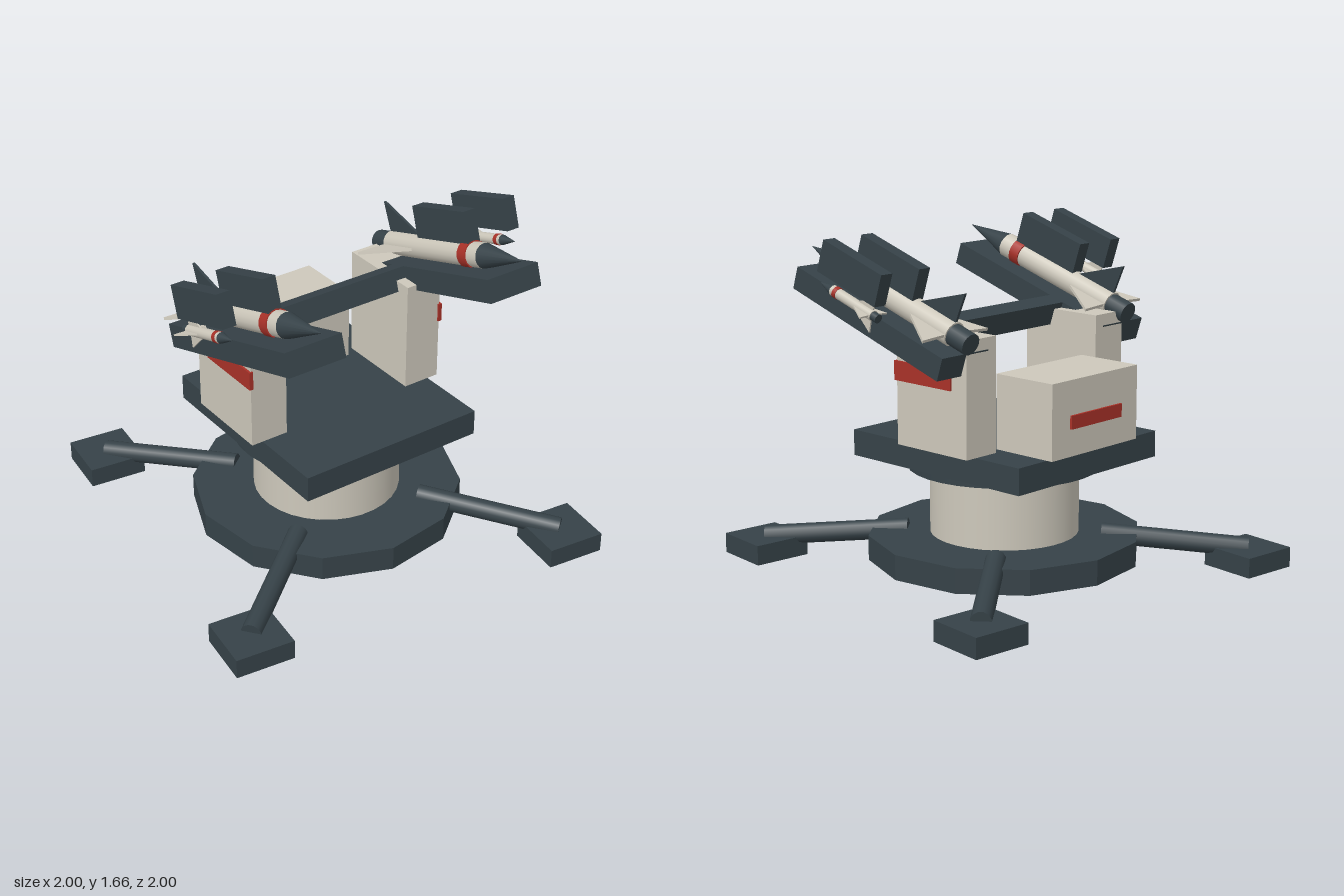
import * as THREE from 'three';

const mat = (color, flat = false) => new THREE.MeshStandardMaterial({ color, flatShading: flat });
const dark = mat(0x364248), darkFlat = mat(0x364248, true);
const cream = mat(0xcdc8bb), red = mat(0xa93128);

function add(parent, name, geometry, material, x = 0, y = 0, z = 0) {
  const mesh = new THREE.Mesh(geometry, material);
  mesh.name = name;
  mesh.position.set(x, y, z);
  parent.add(mesh);
  return mesh;
}

const box = (w, h, d) => new THREE.BoxGeometry(w, h, d);

// Round section along z from z0 to z1
function round(r0, r1, z0, z1) {
  return new THREE.CylinderGeometry(r1, r0, z1 - z0, 16)
    .rotateX(Math.PI / 2).translate(0, 0, (z0 + z1) / 2);
}

// Swept triangular fin pointing to +x, root running along z
function finGeometry(front, back, tip, span, thickness) {
  const shape = new THREE.Shape([
    new THREE.Vector2(0, back), new THREE.Vector2(span, tip), new THREE.Vector2(0, front),
  ]);
  return new THREE.ExtrudeGeometry(shape, { depth: thickness, bevelEnabled: false })
    .translate(0, 0, -thickness / 2).rotateX(Math.PI / 2);
}

function makeMissile(name, m) {
  const g = new THREE.Group();
  g.name = name;
  add(g, 'missileBody', round(m.r, m.r, m.tail, m.nose), cream);
  add(g, 'missileNose', round(m.r, 0, m.nose, m.tip), dark);
  add(g, 'missileBand', round(m.r * 1.1, m.r * 1.1, m.band[0], m.band[1]), red);
  add(g, 'missileNozzle', round(m.nozzleR, m.nozzleR, m.end, m.tail), dark);
  const fin = finGeometry(...m.fin);
  for (let i = 0; i < 4; i++) {
    add(g, 'missileFin', fin, i % 2 ? m.verticalFin : cream).rotation.z = i * Math.PI / 2;
  }
  return g;
}

const LARGE = {
  r: 0.062, tail: -0.42, nose: 0.325, tip: 0.6, end: -0.53, nozzleR: 0.054,
  band: [0.19, 0.25], fin: [-0.08, -0.41, -0.43, 0.212, 0.014], verticalFin: dark,
};
const SMALL = {
  r: 0.026, tail: -0.13, nose: 0.155, tip: 0.25, end: -0.165, nozzleR: 0.022,
  band: [0.112, 0.135], fin: [0.03, -0.12, -0.13, 0.085, 0.008], verticalFin: cream,
};

function makeBase() {
  const base = new THREE.Group();
  base.name = 'base';
  add(base, 'baseDisc', new THREE.CylinderGeometry(0.68, 0.68, 0.125, 12), darkFlat, 0, 0.0975, 0);
  add(base, 'pedestal', new THREE.CylinderGeometry(0.37, 0.37, 0.36, 32), cream, 0, 0.33, 0);
  add(base, 'bearingRing', new THREE.CylinderGeometry(0.48, 0.48, 0.04, 32), dark, 0, 0.517, 0);
  // Four outriggers with square feet
  for (const sx of [-1, 1]) for (const sz of [-1, 1]) {
    add(base, 'foot', box(0.295, 0.1, 0.295), dark, sx * 0.8525, 0.05, sz * 0.8525);
    const a = new THREE.Vector3(sx * 0.34, 0.152, sz * 0.34);
    const b = new THREE.Vector3(sx * 0.853, 0.096, sz * 0.853);
    const leg = add(base, 'outriggerLeg', new THREE.CylinderGeometry(0.05, 0.05, a.distanceTo(b), 12), dark);
    leg.position.copy(a).lerp(b, 0.5);
    leg.quaternion.setFromUnitVectors(new THREE.Vector3(0, 1, 0), b.clone().sub(a).normalize());
  }
  return base;
}

function makeTurret() {
  const turret = new THREE.Group();
  turret.name = 'turret';
  turret.rotation.y = 0.12;
  add(turret, 'deck', box(0.992, 0.13, 1.104), dark, 0, 0.6, 0);
  add(turret, 'rearCabinet', box(0.612, 0.365, 0.35), cream, 0, 0.8475, -0.409);
  add(turret, 'rearStripe', box(0.36, 0.065, 0.02), red, 0, 0.83, -0.586);

  // Elevating cradle, pitched up towards the front
  const cradle = new THREE.Group();
  cradle.name = 'cradle';
  cradle.position.set(0, 1.271, 0.224);
  cradle.rotation.x = -0.314;
  turret.add(cradle);
  add(cradle, 'crossBeam', box(0.83, 0.115, 0.09), dark, 0, 0, -0.19);

  for (const s of [-1, 1]) {
    add(turret, 'sideTower', box(0.198, 0.56, 0.457), cream, s * 0.456, 0.945, -0.0515);
    add(turret, 'sideStripe', box(0.02, 0.095, 0.37), red, s * 0.556, 1.0275, 0);
    add(cradle, 'launchRail', box(0.302, 0.115, 1.027), dark, s * 0.561, 0, 0);

    const large = makeMissile('largeMissile', LARGE);
    large.position.set(s * 0.561, 0.112, 0);
    const small = makeMissile('smallMissile', SMALL);
    small.position.set(s * 0.804, 0.107, 0);
    cradle.add(large, small);

    // Guide boxes above each missile
    for (const x of [0.565, 0.804]) {
      add(cradle, 'guideBox', box(0.07, 0.16, 0.406), dark, s * x, 0.247, 0.046);
    }
  }
  return turret;
}

export function createModel() {
  const model = new THREE.Group();
  model.name = 'missileLauncher';
  model.add(makeBase(), makeTurret());
  return model;
}
